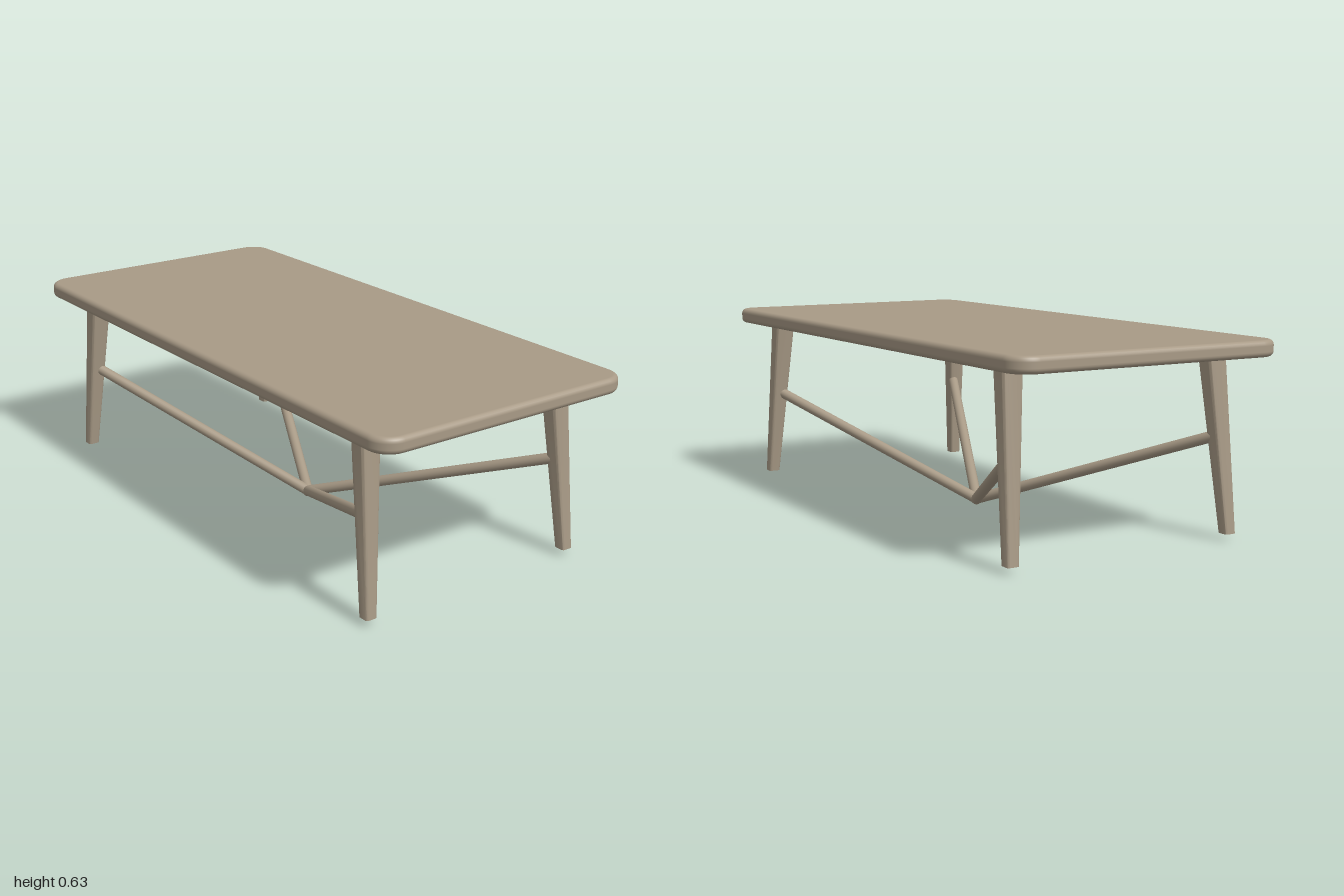
import * as THREE from 'three';
import { toCreasedNormals } from 'three/addons/utils/BufferGeometryUtils.js';

const wood = new THREE.MeshStandardMaterial({ color: 0xa89a86 });

function roundedRect(hx, hz, r) {
  const s = new THREE.Shape();
  [[hx - r, hz - r], [r - hx, hz - r], [r - hx, r - hz], [hx - r, r - hz]].forEach(([x, z], i) =>
    s.absarc(x, z, r, i * Math.PI / 2, (i + 1) * Math.PI / 2, false));
  s.closePath();
  return s;
}

// Rounded slab with softly rolled edges and a flat top and bottom
function tableTop() {
  const hx = 1, hz = 0.473, R = 0.075, b = 0.017, hy = 0.026;
  const geo = new THREE.ExtrudeGeometry(roundedRect(hx - b, hz - b, R - b), {
    depth: 2 * (hy - b), bevelThickness: b, bevelSize: b, bevelSegments: 5, curveSegments: 10,
  });
  geo.translate(0, 0, b - hy).rotateX(-Math.PI / 2);

  // Normals point away from the slab's inner core
  const pos = geo.attributes.position, nor = geo.attributes.normal;
  const past = (v, lim) => Math.sign(v) * Math.max(Math.abs(v) - lim, 0);
  const n = new THREE.Vector3();
  for (let i = 0; i < pos.count; i++) {
    n.set(past(pos.getX(i), hx - R), 0, past(pos.getZ(i), hz - R));
    n.setLength(Math.max(n.length() - (R - b), 0));
    n.y = past(pos.getY(i), hy - b);
    n.normalize();
    nor.setXYZ(i, n.x, n.y, n.z);
  }
  const mesh = new THREE.Mesh(geo, wood);
  mesh.name = 'tableTop';
  mesh.position.y = 0.609;
  return mesh;
}

// Splayed, soft-edged square leg tapering to the floor
function leg(sx, sz) {
  const y0 = 0.022, y1 = 0.59;
  const geo = new THREE.ExtrudeGeometry(roundedRect(0.5, 0.5, 0.2), {
    depth: 1, bevelEnabled: false, curveSegments: 5,
  });
  geo.rotateX(-Math.PI / 2);
  const pos = geo.attributes.position, mix = THREE.MathUtils.lerp;
  for (let i = 0; i < pos.count; i++) {
    const t = pos.getY(i);
    pos.setXYZ(i,
      sx * mix(0.85, 0.79, t) + pos.getX(i) * mix(0.04, 0.066, t),
      mix(y0, y1, t),
      sz * mix(0.398, 0.37, t) + pos.getZ(i) * mix(0.04, 0.069, t));
  }
  const mesh = new THREE.Mesh(toCreasedNormals(geo, 0.6), wood);
  mesh.name = 'leg';
  return mesh;
}

// Round bar from the low centre joint up to a leg
function stretcher(sx, sz) {
  const a = new THREE.Vector3(0, 0.02, 0);
  const d = new THREE.Vector3(sx * 0.81, 0.325, sz * 0.375).sub(a);
  const mesh = new THREE.Mesh(new THREE.CylinderGeometry(0.018, 0.018, d.length(), 20), wood);
  mesh.name = 'stretcher';
  mesh.position.copy(a).addScaledVector(d, 0.5);
  mesh.quaternion.setFromUnitVectors(new THREE.Vector3(0, 1, 0), d.normalize());
  return mesh;
}

export function createModel() {
  const group = new THREE.Group();
  group.name = 'table';
  group.add(tableTop());
  for (const sx of [-1, 1]) for (const sz of [-1, 1]) group.add(leg(sx, sz), stretcher(sx, sz));

  // Centre joint where the four bars meet
  const joint = new THREE.Mesh(new THREE.SphereGeometry(0.019, 20, 12), wood);
  joint.name = 'stretcherJoint';
  joint.position.y = 0.019;
  group.add(joint);
  return group;
}
